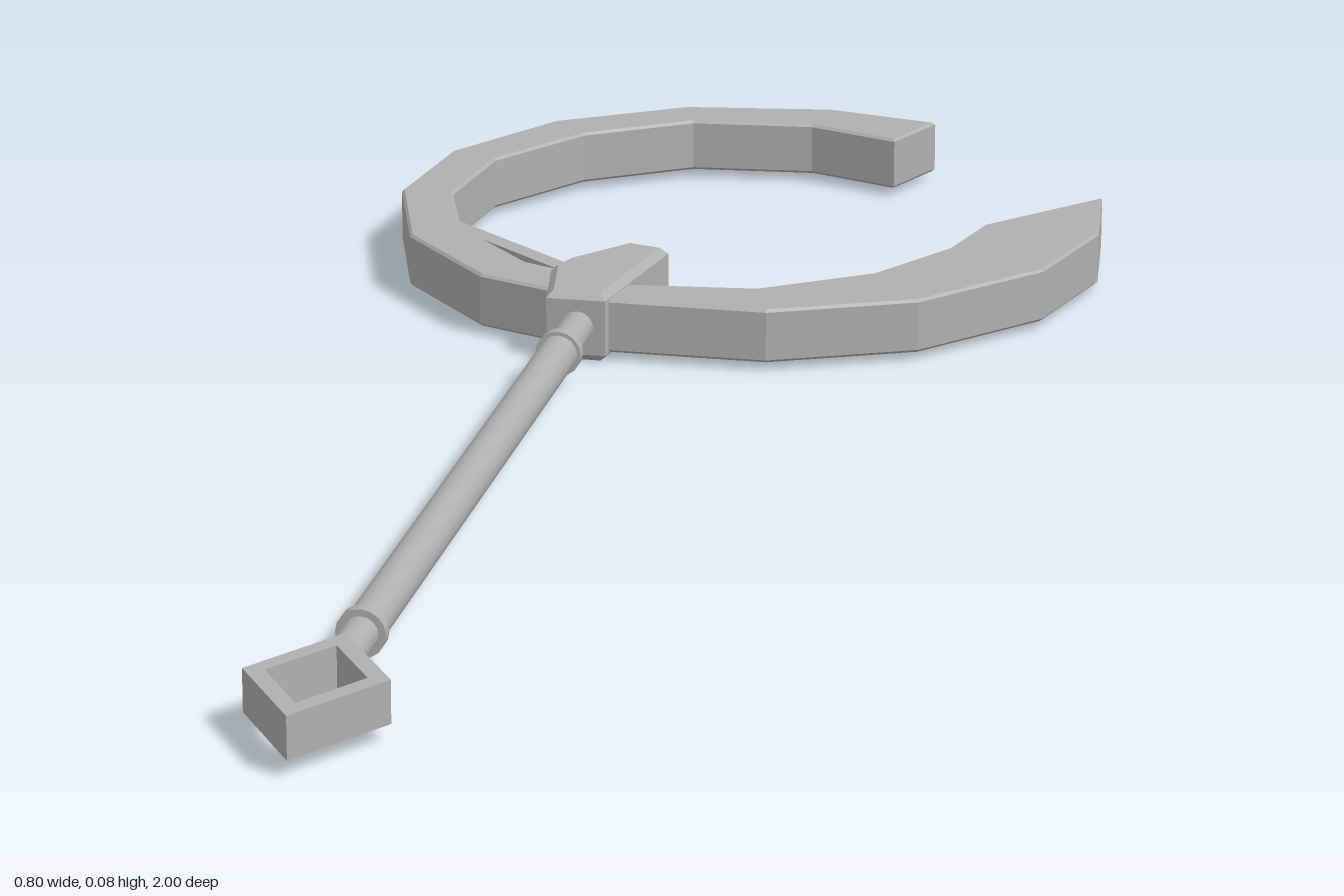
import * as THREE from 'three';

export function createModel() {
  const group = new THREE.Group();
  const grey = new THREE.MeshStandardMaterial({ color: 0xb0b0b0 });
  grey.name = 'plainGrey';
  const CX = -0.116, MID = 0.041;

  const add = (name, geometry) => {
    const mesh = new THREE.Mesh(geometry, grey);
    mesh.name = name;
    group.add(mesh);
    return mesh;
  };

  // Plate drawn as [x, z] corners, lying flat between two heights
  const toVectors = (pts) => pts.map(([x, z]) => new THREE.Vector2(x, -z));
  function plate(name, pts, y0, y1, bevel, hole) {
    const shape = new THREE.Shape(toVectors(pts));
    if (hole) shape.holes.push(new THREE.Path(toVectors(hole)));
    const geometry = new THREE.ExtrudeGeometry(shape, {
      depth: y1 - y0 - 2 * bevel, bevelEnabled: bevel > 0, bevelSegments: 1,
      bevelThickness: bevel, bevelSize: bevel, bevelOffset: -bevel,
    });
    geometry.rotateX(-Math.PI / 2);
    geometry.translate(0, y0 + bevel, 0);
    return add(name, geometry);
  }

  // Open crescent blade: outer edge, then back along the inner edge
  plate('crescentBlade', [
    [0.15, -0.97], [0.02, -1], [-0.15, -0.975], [-0.29, -0.885], [-0.38, -0.74],
    [-0.4, -0.58], [-0.35, -0.415], [-0.24, -0.29], [-0.09, -0.23], [0.09, -0.23],
    [0.245, -0.3], [0.36, -0.435], [0.4, -0.58], [0.385, -0.713],
    [0.27, -0.585], [0.245, -0.49], [0.18, -0.385], [0.065, -0.305], [-0.07, -0.29],
    [-0.2, -0.345], [-0.3, -0.455], [-0.34, -0.58], [-0.323, -0.72],
    [-0.245, -0.84], [-0.13, -0.917], [0.01, -0.93], [0.115, -0.89],
  ], 0.011, 0.071, 0.003);

  // Slim brace across the inside of the crescent
  plate('brace', [
    [-0.335, -0.53], [-0.1, -0.335], [0.02, -0.285],
    [0.01, -0.27], [-0.11, -0.315], [-0.325, -0.495],
  ], 0.024, 0.058, 0);

  // Socket joining blade and shaft
  plate('socket', [
    [-0.15, -0.22], [-0.166, -0.315], [-0.155, -0.345], [-0.1, -0.416],
    [-0.053, -0.402], [-0.085, -0.22],
  ], 0.002, 0.08, 0.008);

  // Round parts along the shaft axis
  function rod(name, radius, z0, z1) {
    const geometry = new THREE.CylinderGeometry(radius, radius, z1 - z0, 16);
    geometry.rotateX(Math.PI / 2);
    add(name, geometry).position.set(CX, MID, (z0 + z1) / 2);
  }
  rod('shaft', 0.021, -0.13, 0.72);
  rod('upperNeck', 0.018, -0.24, -0.13);
  rod('lowerNeck', 0.018, 0.72, 0.795);
  rod('upperCollar', 0.025, -0.14, -0.126);
  rod('lowerCollar', 0.025, 0.714, 0.728);

  // Hollow diamond pommel
  const diamond = (w, l) => [[CX, 0.892 - l], [CX - w, 0.892], [CX, 0.892 + l], [CX + w, 0.892]];
  plate('pommel', diamond(0.071, 0.108), 0.019, 0.063, 0, diamond(0.049, 0.075));

  return group;
}
